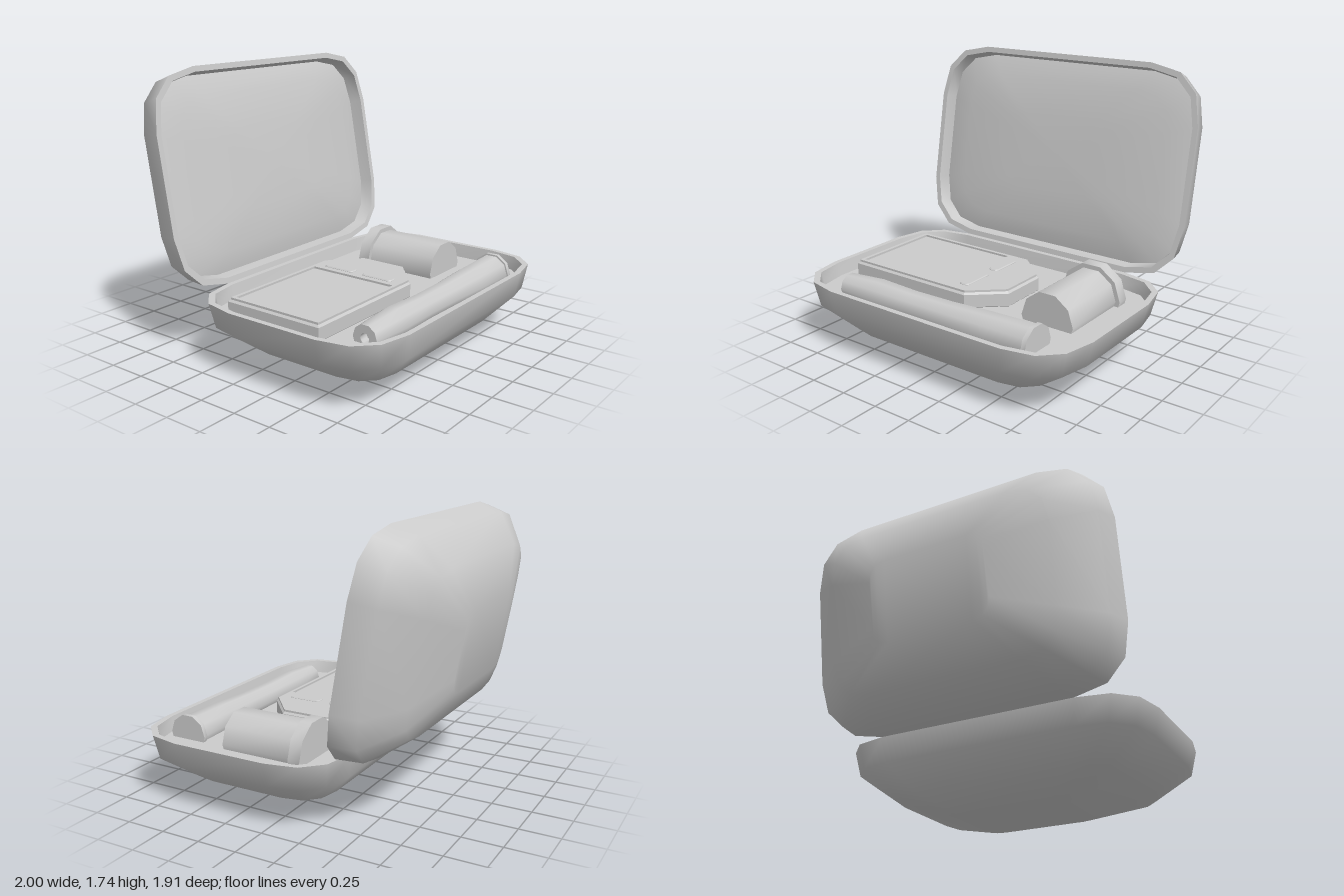
import * as THREE from 'three';
import { toCreasedNormals } from 'three/addons/utils/BufferGeometryUtils.js';

const mat = new THREE.MeshStandardMaterial({ color: 0xcccccc });
const RIM = 0.425, HINGE_Z = -0.38, HALF_DEPTH = 0.668, FLOOR = 0.338;

function add(parent, name, geometry, x = 0, y = 0, z = 0) {
  const mesh = new THREE.Mesh(geometry, mat);
  mesh.name = name;
  mesh.position.set(x, y, z);
  parent.add(mesh);
  return mesh;
}

// Rounded rectangle outline, three facets per corner, counter-clockwise from above
function outline([hx, hz, r, y]) {
  const points = [];
  for (let corner = 0; corner < 4; corner++) {
    const sx = corner === 0 || corner === 3 ? 1 : -1;
    const sz = corner < 2 ? -1 : 1;
    for (let i = 0; i < 4; i++) {
      const a = corner * Math.PI / 2 + i * Math.PI / 6;
      // The power makes the corner a little squarer than a circle
      const c = Math.abs(Math.cos(a)) ** 0.85, s = Math.abs(Math.sin(a)) ** 0.85;
      points.push([sx * (hx - r + r * c), y, sz * (hz - r + r * s) + HALF_DEPTH]);
    }
  }
  return points;
}

// Smooth skin through rings given as [half width, half depth, corner radius, height];
// closeBottom spans the last ring with strips facing down
function skin(rings, closeBottom = false) {
  const n = 16, index = [];
  const positions = rings.flatMap(outline).flat();
  for (let k = 0; k < rings.length - 1; k++) {
    for (let i = 0; i < n; i++) {
      const j = (i + 1) % n;
      const a = k * n + i, b = k * n + j, c = a + n, d = b + n;
      index.push(c, d, b, c, b, a);
    }
  }
  if (closeBottom) {
    const o = (rings.length - 1) * n;
    for (let i = 0; i < 7; i++) {
      index.push(o + i, o + 15 - i, o + 14 - i, o + i, o + 14 - i, o + i + 1);
    }
  }
  const g = new THREE.BufferGeometry();
  g.setAttribute('position', new THREE.Float32BufferAttribute(positions, 3));
  g.setIndex(index);
  g.computeVertexNormals();
  return g;
}

const outerRings = [
  [1, HALF_DEPTH, 0.36, 0], [0.96, 0.643, 0.34, -0.157], [0.735, 0.49, 0.24, -0.323],
  [0.385, 0.25, 0.11, -RIM],
];
const innerRim = [0.965, 0.633, 0.335, 0];
const ledge = [0.95, 0.618, 0.325, FLOOR - RIM];

// Half shell hanging below its rim, hinge line at the local origin
function halfShell(name) {
  const g = new THREE.Group();
  g.name = name;
  add(g, name + 'Outside', skin(outerRings, true));
  add(g, name + 'Rim', skin([innerRim, outerRings[0]]));
  add(g, name + 'InnerWall', skin([ledge, innerRim]));
  return g;
}

// Ten-sided turned part from [radius, position] pairs
function turned(profile, start) {
  const points = profile.map(([r, p]) => new THREE.Vector2(r, p));
  return toCreasedNormals(new THREE.LatheGeometry(points, 10, start), 0.9);
}

function polygon(points) {
  return new THREE.Shape(points.map(([x, z]) => new THREE.Vector2(x, -z)));
}

// Extrude a plan shape upwards
function slab(shape, depth, bevel = 0) {
  const g = new THREE.ExtrudeGeometry(shape, {
    depth, bevelEnabled: bevel > 0, bevelSize: bevel, bevelThickness: bevel,
    bevelOffset: -bevel, bevelSegments: 1, curveSegments: 4,
  });
  return g.rotateX(-Math.PI / 2);
}

function pill(w, d) {
  const s = new THREE.Shape(), x = w / 2, y = d / 2, r = w * 0.35;
  s.moveTo(-x + r, -y);
  s.lineTo(x - r, -y).quadraticCurveTo(x, -y, x, -y + r);
  s.lineTo(x, y - r).quadraticCurveTo(x, y, x - r, y);
  s.lineTo(-x + r, y).quadraticCurveTo(-x, y, -x, y - r);
  s.lineTo(-x, -y + r).quadraticCurveTo(-x, -y, -x + r, -y);
  return s;
}

function makeMeter() {
  const g = new THREE.Group();
  g.name = 'meter';
  const plan = [[-0.86, -0.16], [-0.86, 0.515], [0.04, 0.515], [0.245, 0.335], [0.245, 0.02], [0.04, -0.16]];
  const inset = [[-0.848, -0.148], [-0.848, 0.503], [0.036, 0.503], [0.233, 0.33], [0.233, 0.025], [0.036, -0.148]];
  const screen = [[-0.825, -0.125], [-0.105, -0.125], [-0.105, 0.48], [-0.825, 0.48]];
  add(g, 'meterBody', slab(polygon(plan), 0.08, 0.012), 0, 0.343, 0);
  // Raised top with a window sunk around the screen
  const top = polygon(inset);
  top.holes.push(polygon(screen));
  add(g, 'meterTopFrame', slab(top, 0.013), 0, 0.435, 0);
  for (const z of [0.033, 0.325]) {
    add(g, 'meterButton', slab(pill(0.07, 0.22), 0.004, 0.006), -0.03, 0.446, z);
  }
  return g;
}

function makePen() {
  const g = new THREE.Group();
  g.name = 'pen';
  const barrel = [
    [0, -0.66], [0.03, -0.66], [0.03, -0.72], [0.08, -0.72], [0.1, -0.45], [0.091, -0.18],
    [0.095, 0.1], [0.109, 0.4], [0.116, 0.695],
  ];
  add(g, 'penBarrel', turned(barrel, 0));
  add(g, 'penEndFlange', turned([[0, 0.695], [0.126, 0.695], [0.126, 0.724], [0, 0.724]], 0));
  g.rotation.z = -Math.PI / 2;
  g.position.set(0, 0.37, 0.72);
  return g;
}

function makeCanister() {
  const g = new THREE.Group();
  g.name = 'canister';
  const start = Math.PI / 2;
  add(g, 'canisterBody', turned([[0, -0.06], [0.178, -0.06], [0.178, 0.43], [0, 0.43]], start));
  add(g, 'canisterCap', turned([[0, -0.127], [0.207, -0.127], [0.207, -0.048], [0, -0.048]], start));
  g.rotation.x = Math.PI / 2;
  g.position.set(0.585, 0.37, 0);
  return g;
}

export function createModel() {
  const model = new THREE.Group();
  model.name = 'openCase';

  // Lower half with a flat tray
  const base = halfShell('base');
  add(base, 'trayFloor', skin([[0, 0, 0, FLOOR - RIM], ledge]));
  base.position.set(0, RIM, HINGE_Z);
  model.add(base);

  // Lid: the same shell turned over and swung open, lined with a gently padded panel
  const lid = new THREE.Group();
  lid.name = 'lid';
  const shell = halfShell('lidShell');
  add(shell, 'lidLining', skin([
    [0, 0, 0, -0.035], [0.385, 0.25, 0.11, -0.035], [0.78, 0.49, 0.24, -0.05], ledge,
  ]));
  shell.rotation.z = Math.PI;
  lid.add(shell);
  lid.rotation.x = -THREE.MathUtils.degToRad(100);
  lid.position.set(0, RIM, HINGE_Z);
  model.add(lid);

  model.add(makeMeter(), makePen(), makeCanister());
  return model;
}
